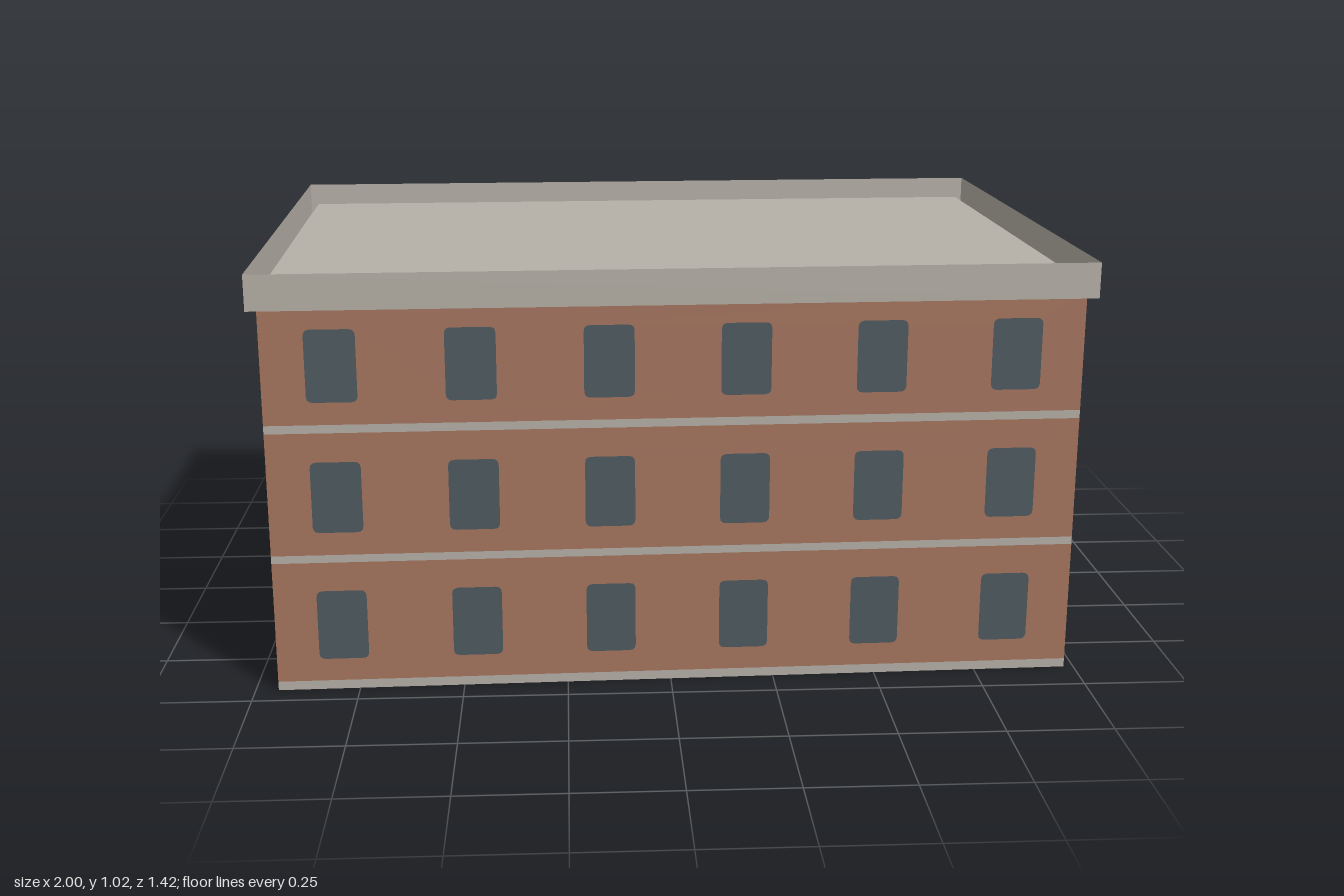
import * as THREE from 'three';

const W = 1.922, D = 1.337;          // wall footprint
const CW = 1.968, CD = 1.378;        // cornice footprint
const ROOF_Y = 0.965, CORNICE_BOTTOM = 0.935, TOP = 1.02;
const BANDS = [[0, 0.022], [0.322, 0.341], [0.64, 0.66]];
const STOREYS = [[0.022, 0.322], [0.341, 0.64], [0.66, ROOF_Y]];
const WINDOW_Y = [0.164, 0.483, 0.8];
const WIN_W = 0.118, WIN_H = 0.173, WIN_R = 0.015;

function material(name, color) {
  const m = new THREE.MeshStandardMaterial({ color, side: THREE.DoubleSide });
  m.name = name;
  return m;
}

function rect(target, x0, y0, x1, y1) {
  target.moveTo(x0, y0).lineTo(x1, y0).lineTo(x1, y1).lineTo(x0, y1).closePath();
  return target;
}

// Window outline with softened corners
function windowOutline(target, cx, cy) {
  const x0 = cx - WIN_W / 2, x1 = cx + WIN_W / 2;
  const y0 = cy - WIN_H / 2, y1 = cy + WIN_H / 2, r = WIN_R;
  target.moveTo(x0 + r, y0).lineTo(x1 - r, y0);
  target.quadraticCurveTo(x1, y0, x1, y0 + r).lineTo(x1, y1 - r);
  target.quadraticCurveTo(x1, y1, x1 - r, y1).lineTo(x0 + r, y1);
  target.quadraticCurveTo(x0, y1, x0, y1 - r).lineTo(x0, y0 + r);
  target.quadraticCurveTo(x0, y0, x0 + r, y0);
  return target;
}

function add(parent, name, shapes, mat) {
  const mesh = new THREE.Mesh(new THREE.ShapeGeometry(shapes, 3), mat);
  mesh.name = name;
  parent.add(mesh);
  return mesh;
}

// One facade: brick storeys with window openings, panes filling them, and string courses
function facade(name, width, columns, mats) {
  const group = new THREE.Group();
  group.name = name;
  const half = width / 2, panes = [];
  const bricks = STOREYS.map(([y0, y1], floor) => {
    const storey = rect(new THREE.Shape(), -half, y0, half, y1);
    for (let i = 0; i < columns; i++) {
      const x = (i + 0.5) * width / columns - half;
      storey.holes.push(windowOutline(new THREE.Path(), x, WINDOW_Y[floor]));
      panes.push(windowOutline(new THREE.Shape(), x, WINDOW_Y[floor]));
    }
    return storey;
  });
  add(group, 'brickWall', bricks, mats.brick);
  add(group, 'windows', panes, mats.glass);
  add(group, 'stringCourses', BANDS.map(([y0, y1]) => rect(new THREE.Shape(), -half, y0, half, y1)), mats.stone);
  return group;
}

export function createModel() {
  const mats = {
    brick: material('brick', 0xa6755f),
    stone: material('stone', 0xb6b0a7),
    glass: material('windowGlass', 0x4f5b60),
  };
  const model = new THREE.Group();
  const building = new THREE.Group();
  building.name = 'building';
  building.rotation.y = 0.0235;
  model.add(building);

  // Four facades and the cornice band above each
  ['front', 'left', 'back', 'right'].forEach((side, i) => {
    const long = i % 2 === 0;
    const turn = i * Math.PI / 2;
    const place = (obj, dist) => {
      obj.rotation.y = turn;
      obj.position.set(Math.sin(turn) * dist, 0, Math.cos(turn) * dist);
    };
    const wall = facade(side + 'Facade', long ? W : D, long ? 6 : 4, mats);
    place(wall, (long ? D : W) / 2);
    building.add(wall);

    const half = (long ? CW : CD) / 2;
    const band = add(building, side + 'Cornice',
      rect(new THREE.Shape(), -half, CORNICE_BOTTOM, half, TOP), mats.stone);
    place(band, (long ? CD : CW) / 2);
  });

  // Soffit joining the cornice to the walls
  const ring = rect(new THREE.Shape(), -CW / 2, -CD / 2, CW / 2, CD / 2);
  ring.holes.push(rect(new THREE.Path(), -W / 2, -D / 2, W / 2, D / 2));
  const soffit = add(building, 'corniceSoffit', ring, mats.stone);
  soffit.rotation.x = -Math.PI / 2;
  soffit.position.y = CORNICE_BOTTOM;

  // Flat roof closing the walls inside the parapet
  const roof = add(building, 'roofDeck', rect(new THREE.Shape(), -W / 2, -D / 2, W / 2, D / 2), mats.stone);
  roof.rotation.x = -Math.PI / 2;
  roof.position.y = ROOF_Y;

  return model;
}
